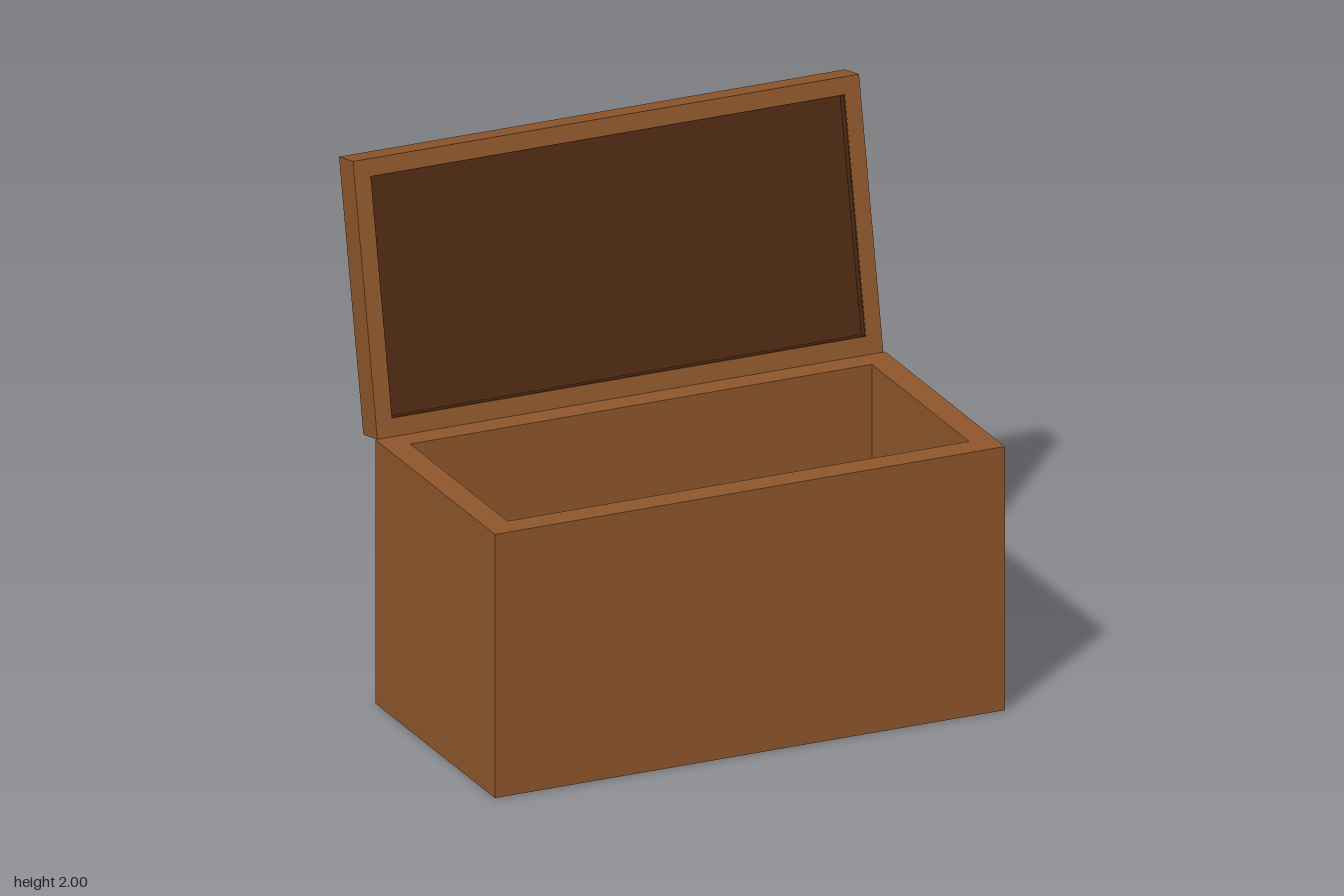
import * as THREE from 'three';

const wood = new THREE.MeshStandardMaterial({ name: 'brown wood', color: 0x8e562b });
const darkWood = new THREE.MeshStandardMaterial({ name: 'dark lining', color: 0x4e2912 });
const grey = new THREE.MeshStandardMaterial({ name: 'grey underside', color: 0xe7e7e7 });

// Points of an axis-aligned rectangle
const rect = (x0, y0, x1, y1) => [[x0, y0], [x1, y0], [x1, y1], [x0, y1]].map(([x, y]) => new THREE.Vector2(x, y));

// Rectangular ring extruded along +z
function frame(outer, inner, depth) {
  const shape = new THREE.Shape(rect(...outer));
  shape.holes.push(new THREE.Path(rect(...inner)));
  return new THREE.ExtrudeGeometry(shape, { depth, bevelEnabled: false });
}

function add(parent, name, geometry, material, x = 0, y = 0, z = 0) {
  const mesh = new THREE.Mesh(geometry, material);
  mesh.name = name;
  mesh.position.set(x, y, z);
  parent.add(mesh);
  return mesh;
}

export function createModel() {
  const model = new THREE.Group();
  model.name = 'chest';

  const H = 1.01, front = 0.665, back = -0.34;
  const midZ = (front + back) / 2, depth = front - back;

  // Hollow body: four walls, inner floor and grey underside
  const walls = frame([-1, -front, 1, -back], [-0.905, -0.567, 0.905, 0.25], H - 0.002);
  walls.rotateX(-Math.PI / 2);
  add(model, 'bodyWalls', walls, wood, 0, 0.002, 0);
  add(model, 'bodyFloor', new THREE.BoxGeometry(1.81, 0.088, 0.817), wood, 0, 0.046, 0.1585);
  const underside = new THREE.PlaneGeometry(2, depth).rotateX(Math.PI / 2);
  add(model, 'underside', underside, grey, 0, 0, midZ);

  // Open lid, leaning back from the rear top edge
  const lid = new THREE.Group();
  lid.name = 'lid';
  lid.position.set(0, H, back);
  lid.rotation.x = -0.204;
  model.add(lid);

  const T = 0.12, recess = 0.037, W = 0.992;
  const hole = [-0.93, 0.066, 0.93, 0.947];
  add(lid, 'lidFrame', frame([-W, 0, W, H], hole, recess), wood, 0, 0, -recess);
  add(lid, 'lidBack', new THREE.BoxGeometry(2 * W, H, T - recess), wood, 0, H / 2, -(T + recess) / 2);

  // Dark lining of the recess: thin rim and panel
  const t = 0.003;
  const inner = [hole[0] + t, hole[1] + t, hole[2] - t, hole[3] - t];
  add(lid, 'liningRim', frame(hole, inner, recess - 0.002), darkWood, 0, 0, -recess);
  add(lid, 'liningPanel', new THREE.BoxGeometry(1.86, hole[3] - hole[1], 0.004), darkWood,
    0, (hole[1] + hole[3]) / 2, -recess + 0.001);

  return model;
}
